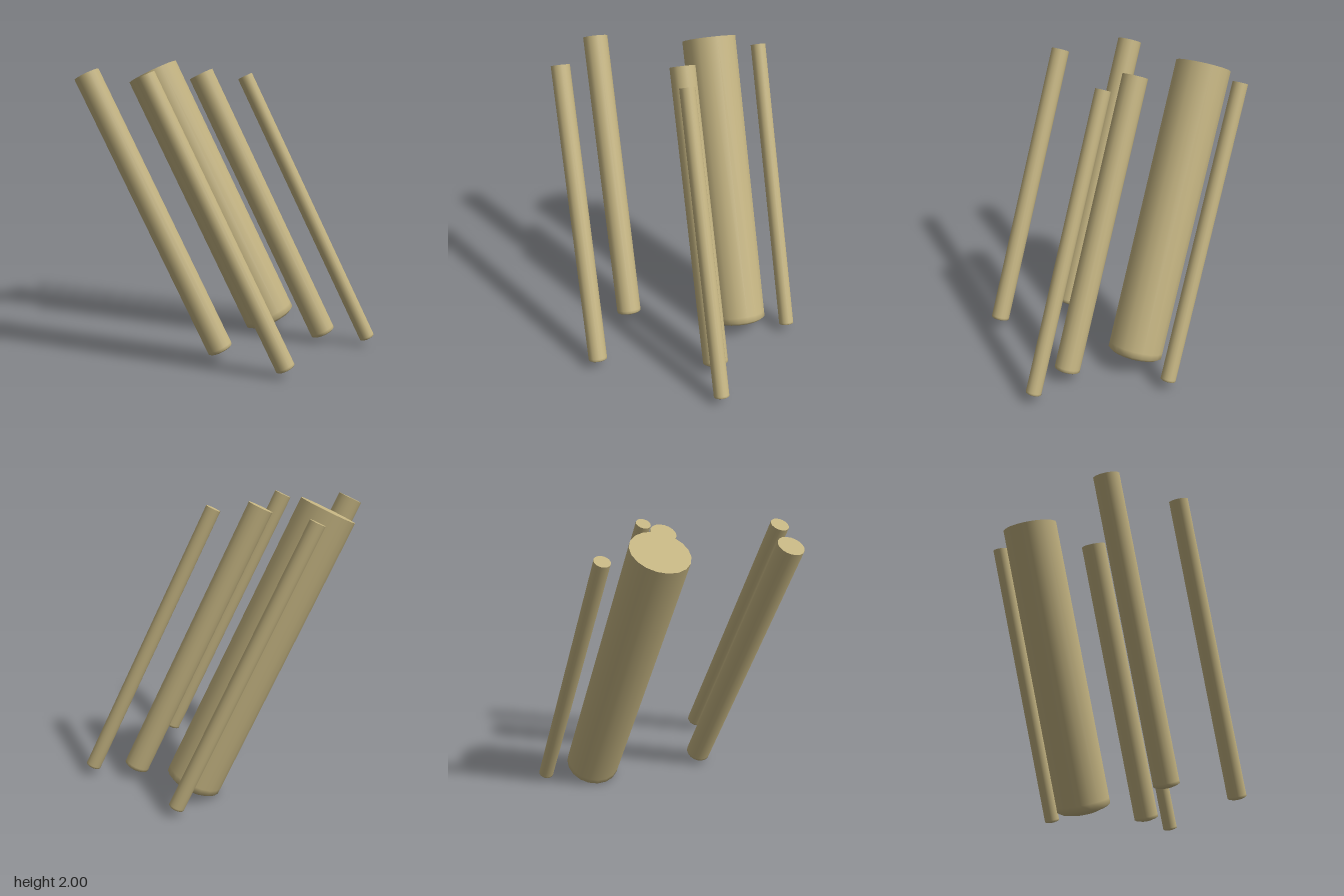
import * as THREE from 'three';

const SIDES = 18;
const material = new THREE.MeshStandardMaterial({ color: 0xc2b280 });

// All columns lean along the same axis (bottom to top) and share one length.
const axis = new THREE.Vector3(-0.54, 1.827, -0.685);
const length = axis.length();
const lean = new THREE.Quaternion().setFromUnitVectors(
  new THREE.Vector3(0, 1, 0), axis.clone().normalize());

// Flat-topped column with a softly domed foot; its origin is the top centre.
function makeColumn(name, x, y, z, r) {
  const profile = [
    [0, -0.25], [0.45, -0.21], [0.85, -0.1], [1, 0], [1, 0.2],
  ].map(([px, py]) => new THREE.Vector2(px * r, py * r - length));
  profile.push(new THREE.Vector2(r, 0));

  const shaft = new THREE.Mesh(new THREE.LatheGeometry(profile, SIDES), material);
  shaft.name = 'shaft';

  // Cap corners line up with the shaft corners
  const cap = new THREE.Mesh(
    new THREE.CircleGeometry(r, SIDES, Math.PI / 2).rotateX(-Math.PI / 2), material);
  cap.name = 'topCap';

  const column = new THREE.Group();
  column.name = name;
  column.add(shaft, cap);
  column.position.set(x, y, z);
  column.quaternion.copy(lean);
  return column;
}

export function createModel() {
  const model = new THREE.Group();
  model.name = 'leaningColumns';
  // name, top centre x, y, z, radius
  const columns = [
    ['largeColumn', -0.03, 1.917, -0.68, 0.19],
    ['backRightColumn', -0.812, 1.9, -0.447, 0.087],
    ['middleColumn', -0.025, 1.9, -0.182, 0.087],
    ['frontRightColumn', -0.788, 1.892, 0.1, 0.064],
    ['backLeftColumn', 0.3, 1.887, -0.787, 0.052],
    ['frontLeftColumn', 0.123, 1.887, 0.096, 0.052],
  ];
  for (const c of columns) model.add(makeColumn(...c));
  return model;
}
